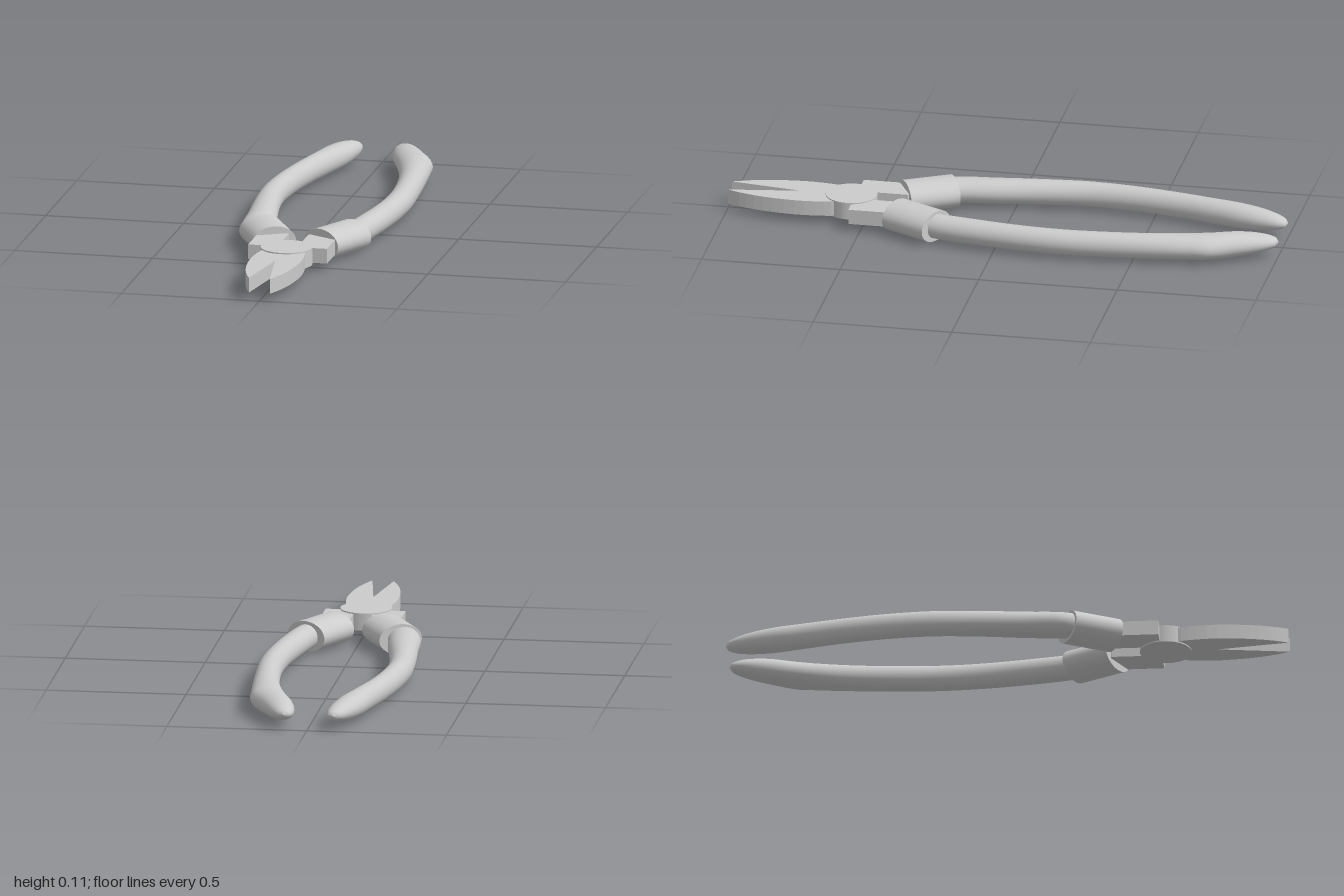
import * as THREE from 'three';

const MID = 0.055; // height of the tool's centre plane
const material = new THREE.MeshStandardMaterial({ color: 0xcccccc });

function add(parent, name, geometry) {
  const mesh = new THREE.Mesh(geometry, material);
  mesh.name = name;
  parent.add(mesh);
}

// Flat plate from an outline in plan (x, z), centred on the middle plane
function plate(points, thickness) {
  const shape = new THREE.Shape(points.map(([x, z]) => new THREE.Vector2(x, z)));
  const geo = new THREE.ExtrudeGeometry(shape, { depth: thickness, bevelEnabled: false });
  geo.rotateX(Math.PI / 2);
  geo.translate(0, MID + thickness / 2, 0);
  return geo;
}

// Elliptical loft along z; each station is [z, xMin, xMax, halfHeight]
function loft(stations, sides = 28, steps = 60) {
  const centre = new THREE.CatmullRomCurve3(
    stations.map(([z, a, b]) => new THREE.Vector3((a + b) / 2, 0, z)));
  const radii = new THREE.CatmullRomCurve3(
    stations.map(([z, a, b, h]) => new THREE.Vector3((b - a) / 2, h, z)));
  const pos = [], index = [];
  for (let i = 0; i <= steps; i++) {
    const t = i / steps;
    const c = centre.getPoint(t), r = radii.getPoint(t);
    for (let j = 0; j < sides; j++) {
      const a = (j / sides) * Math.PI * 2;
      pos.push(c.x + Math.max(r.x, 0.001) * Math.cos(a), MID + Math.max(r.y, 0.001) * Math.sin(a), c.z);
      if (i === steps) continue;
      const p = i * sides + j, q = i * sides + (j + 1) % sides;
      index.push(p, p + sides, q, q, p + sides, q + sides);
    }
  }
  // end caps
  const last = steps * sides;
  for (let j = 1; j < sides - 1; j++) {
    index.push(0, j, j + 1, last, last + j + 1, last + j);
  }
  const geo = new THREE.BufferGeometry();
  geo.setAttribute('position', new THREE.Float32BufferAttribute(pos, 3));
  geo.setIndex(index);
  geo.computeVertexNormals();
  return geo;
}

export function createModel() {
  const model = new THREE.Group();
  model.name = 'pliers';

  // Jaws: one plate with a V-shaped opening
  const edge = new THREE.SplineCurve([
    [0.072, 0.585], [0.084, 0.635], [0.092, 0.73], [0.083, 0.84], [0.063, 0.93], [0.038, 0.995],
  ].map(([x, z]) => new THREE.Vector2(x, z))).getPoints(14).map((p) => [p.x, p.y]);
  const mirrored = edge.map(([x, z]) => [-x, z]).reverse();
  add(model, 'jaws', plate([...edge, [0, 0.74], ...mirrored], 0.054));

  // Pivot disc
  const disc = new THREE.CylinderGeometry(0.092, 0.092, 0.063, 40);
  disc.translate(0, MID, 0.556);
  add(model, 'pivot', disc);

  for (const s of [-1, 1]) {
    const side = s > 0 ? 'left' : 'right';

    // Angular shank between pivot and collar
    const shank = [[0.035, 0.36], [0.11, 0.34], [0.143, 0.40], [0.143, 0.54], [0.035, 0.54]];
    add(model, side + 'Shank', plate(shank.map(([x, z]) => [s * x, z]), 0.054));

    // Oval collar, angled outward
    const collar = new THREE.CylinderGeometry(1, 1, 0.181, 40);
    collar.scale(0.08, 1, 0.055);
    collar.rotateX(Math.PI / 2);
    collar.rotateY(-s * 0.485);
    collar.translate(s * 0.127, MID, 0.299);
    add(model, side + 'Collar', collar);
  }

  // Grips: the two ends are shaped differently
  add(model, 'rightHandle', loft([
    [0.30, -0.20, -0.08, 0.042], [0.22, -0.24, -0.12, 0.044], [0.08, -0.252, -0.142, 0.045],
    [-0.10, -0.268, -0.173, 0.045], [-0.26, -0.275, -0.188, 0.045], [-0.42, -0.262, -0.178, 0.045],
    [-0.58, -0.235, -0.151, 0.045], [-0.72, -0.206, -0.115, 0.045], [-0.82, -0.187, -0.086, 0.044],
    [-0.90, -0.164, -0.07, 0.038], [-0.96, -0.138, -0.066, 0.027], [-0.99, -0.117, -0.074, 0.015],
    [-1.0, -0.096, -0.094, 0.002],
  ]));
  add(model, 'leftHandle', loft([
    [0.30, 0.09, 0.19, 0.042], [0.22, 0.118, 0.216, 0.044], [0.08, 0.147, 0.242, 0.045],
    [-0.10, 0.175, 0.264, 0.045], [-0.26, 0.183, 0.272, 0.045], [-0.42, 0.174, 0.264, 0.045],
    [-0.58, 0.152, 0.252, 0.045], [-0.70, 0.122, 0.241, 0.045], [-0.77, 0.099, 0.232, 0.045],
    [-0.85, 0.07, 0.191, 0.043], [-0.91, 0.056, 0.16, 0.037], [-0.96, 0.053, 0.132, 0.027],
    [-0.99, 0.062, 0.108, 0.015], [-1.0, 0.081, 0.083, 0.002],
  ]));

  return model;
}
